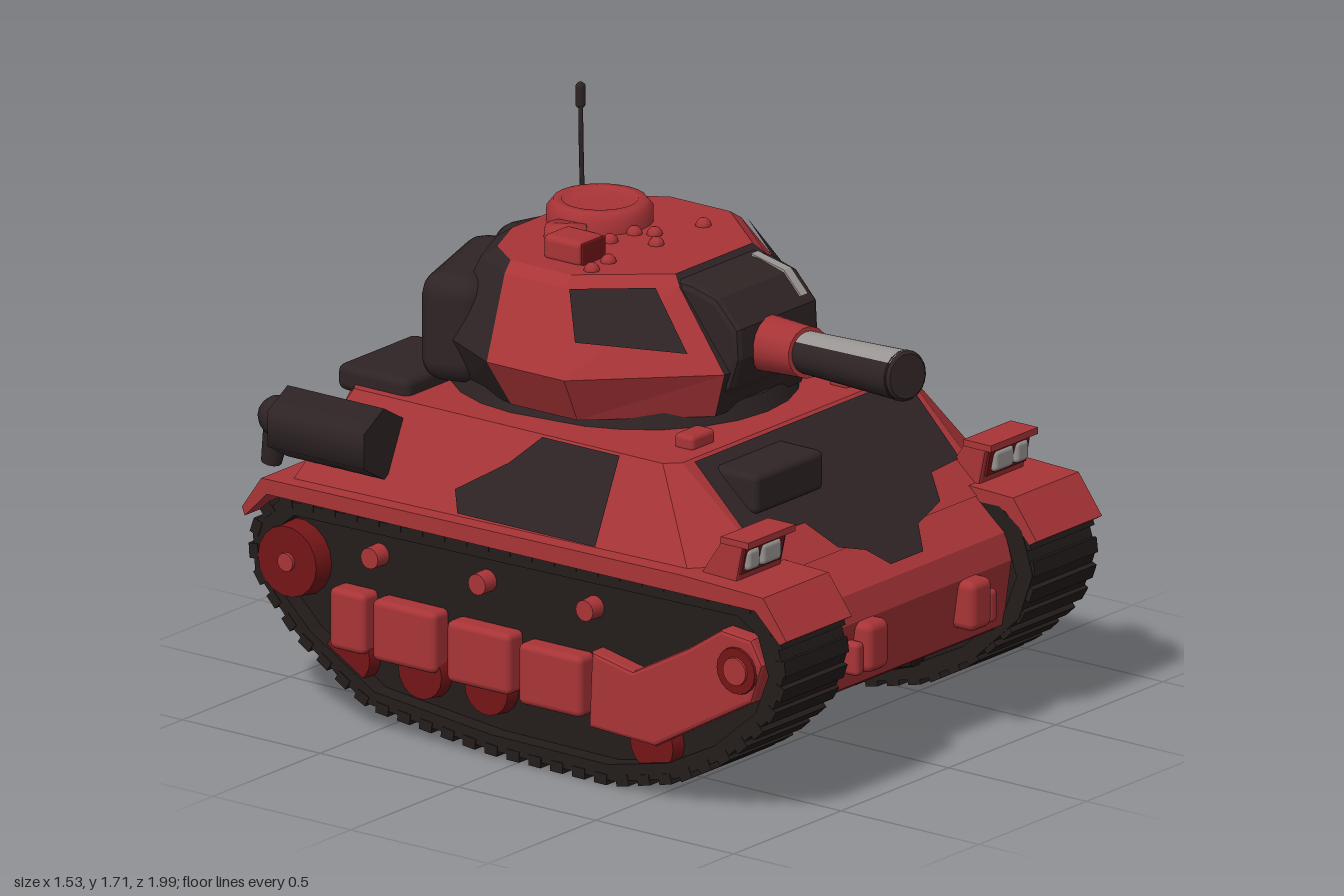
import * as THREE from 'three';
import { mergeGeometries } from 'three/addons/utils/BufferGeometryUtils.js';
import { RoundedBoxGeometry } from 'three/addons/geometries/RoundedBoxGeometry.js';

const material = (name, color) => {
  const m = new THREE.MeshStandardMaterial({ color, side: THREE.DoubleSide });
  m.name = name;
  return m;
};

export function createModel() {
  const model = new THREE.Group();
  model.name = 'tank';
  const red = material('red paint', 0xa83437);
  const dark = material('dark paint', 0x2f2425);
  const black = material('track black', 0x231c1b);
  const maroon = material('deep red', 0x741517);
  const grey = material('light grey', 0x9a9694);

  const add = (name, geo, mat, x = 0, y = 0, z = 0) => {
    const m = new THREE.Mesh(geo, mat);
    m.name = name;
    m.position.set(x, y, z);
    model.add(m);
    return m;
  };
  const box = (name, mat, w, h, d, x, y, z, r = 0.015) =>
    add(name, new RoundedBoxGeometry(w, h, d, 2, r), mat, x, y, z);
  const toShape = pts => new THREE.Shape(pts.map(p => new THREE.Vector2(...p)));

  // Side profile of [z, y] points, extruded across x
  const slab = (name, mat, pts, x0, x1, bevel = 0, hole) => {
    const shape = toShape(pts);
    if (hole) shape.holes.push(toShape(hole));
    const depth = Math.abs(x1 - x0) - 2 * bevel;
    const geo = new THREE.ExtrudeGeometry(shape, {
      depth, bevelEnabled: bevel > 0, bevelThickness: bevel, bevelSize: bevel, bevelOffset: -bevel, bevelSegments: 2
    });
    geo.translate(0, 0, -depth / 2).rotateY(-Math.PI / 2);
    return add(name, geo, mat, (x0 + x1) / 2);
  };

  // Flat polygon laid on a surface by a mapping rule
  const paint = (name, mat, pts, map) => {
    const geo = new THREE.ShapeGeometry(toShape(pts));
    const p = geo.attributes.position;
    for (let i = 0; i < p.count; i++) p.setXYZ(i, ...map(p.getX(i), p.getY(i)));
    geo.computeVertexNormals();
    return add(name, geo, mat);
  };

  // Mirrored [x, z] half outlines joined level by level, with caps
  const loft = (name, mats, levels, pick) => {
    const rings = levels.map(([y, half]) =>
      [...half, ...half.slice().reverse().map(([x, z]) => [-x, z])].map(([x, z]) => [x, y, z]));
    const n = rings[0].length, v = [], geo = new THREE.BufferGeometry();
    const tri = (mi, ...t) => { geo.addGroup(v.length / 3, t.length, mi); t.forEach(q => v.push(...q)); };
    for (let r = 0; r < rings.length - 1; r++) for (let i = 0; i < n; i++) {
      const j = (i + 1) % n, a = rings[r][i], b = rings[r][j], c = rings[r + 1][j], d = rings[r + 1][i];
      tri(pick(i), a, b, c, a, c, d);
    }
    const lo = rings[0], hi = rings[rings.length - 1];
    for (let i = 0; i < n; i++) {
      const j = (i + 1) % n;
      tri(0, [0, hi[0][1], -0.1], hi[i], hi[j]);
      tri(0, [0, lo[0][1], -0.1], lo[j], lo[i]);
    }
    geo.setAttribute('position', new THREE.Float32BufferAttribute(v, 3));
    geo.computeVertexNormals();
    return add(name, geo, mats);
  };

  // Hull
  slab('lowerHull', red, [[0.725, 0.7], [0.868, 0.58], [0.89, 0.5], [0.86, 0.3], [-0.78, 0.3], [-0.88, 0.54], [-0.95, 0.58], [-0.95, 0.7]], -0.435, 0.435);
  slab('hullFloor', maroon, [[0.85, 0.31], [0.83, 0.28], [-0.76, 0.28], [-0.89, 0.54], [-0.87, 0.54], [-0.74, 0.31]], -0.43, 0.43);
  loft('upperHull', [red], [
    [0.67, [[0.5, 0.768], [0.69, 0.6], [0.69, -0.85], [0.45, -0.94]]],
    [0.95, [[0.52, 0.44], [0.56, 0.4], [0.56, -0.72], [0.45, -0.79]]]
  ], () => 0);
  paint('glacisCamouflage', dark, [[-0.48, 0.945], [-0.5, 0.755], [-0.26, 0.75], [-0.21, 0.68], [-0.12, 0.655], [-0.07, 0.61], [0.08, 0.61],
    [0.14, 0.665], [0.28, 0.69], [0.33, 0.75], [0.47, 0.755], [0.5, 0.945]], (x, y) => [x, y, 0.447 + (0.95 - y) * 1.175]);
  box('glacisBox', dark, 0.32, 0.12, 0.2, -0.26, 0.86, 0.53, 0.02);
  paint('rearCamouflage', dark, [[-0.24, 0.675], [0.24, 0.675], [0.24, 0.76], [0.1, 0.78], [-0.1, 0.78], [-0.24, 0.75]],
    (x, y) => [x, y, -0.946 + (y - 0.67) * 0.536]);
  box('rearPatch', dark, 0.48, 0.11, 0.016, 0, 0.645, -0.948, 0.005);
  box('rearHatch', dark, 0.18, 0.12, 0.06, 0, 0.41, -0.82);
  slab('rearStrap', dark, [[-0.64, 1], [-0.8, 0.985], [-0.96, 0.78], [-0.97, 0.6], [-0.93, 0.6], [-0.9, 0.75], [-0.7, 0.9]], -0.1, 0.1, 0.01);

  // Bent plate hanging under the hull
  const plate = new THREE.ExtrudeGeometry(toShape([[-0.37, 0.02], [-0.35, -0.28], [-0.1, -0.38], [0.1, -0.32], [0.24, -0.1], [0.18, 0.12], [-0.05, 0.2], [-0.28, 0.18]]),
    { depth: 0.045, bevelSize: 0.015, bevelThickness: 0.015, bevelSegments: 1 });
  plate.rotateX(-Math.PI / 2).rotateZ(0.06);
  add('undersidePlate', plate, dark, 0, 0.075, 0);

  // Track outline and links
  const outline = [[0.93, 0.6], [0.97, 0.47], [0.92, 0.33], [0.76, 0.18], [0.58, 0.08], [0.35, 0.025], [-0.1, 0.03], [-0.55, 0.08],
    [-0.8, 0.24], [-0.95, 0.4], [-0.96, 0.54], [-0.86, 0.63], [0.85, 0.655]];
  const inset = outline.map(([z, y]) => [z * 0.94, 0.36 + (y - 0.36) * 0.86]);
  const spots = toShape([...outline, outline[0]]).getSpacedPoints(56);
  const links = mergeGeometries(spots.slice(0, -1).map((p, i) => {
    const q = spots[i + 1];
    return new THREE.BoxGeometry(0.295, 0.032, 0.045)
      .rotateX(-Math.atan2(q.y - p.y, q.x - p.x)).translate(0, (p.y + q.y) / 2, (p.x + q.x) / 2);
  }));

  for (const s of [1, -1]) {
    const wheel = (name, mat, r, d, x, y, z) =>
      add(name, new THREE.CylinderGeometry(r * 0.92, r, d, 18).rotateZ(-s * Math.PI / 2), mat, s * x, y, z);

    // Running gear
    slab('trackBelt', black, outline, s * 0.43, s * 0.725, 0, inset);
    slab('trackSide', black, inset, s * 0.45, s * 0.67);
    slab('innerTrackGuide', black, [[0.62, 0.25], [0.56, 0.12], [0.35, 0.05], [-0.1, 0.05], [-0.5, 0.1], [-0.68, 0.25]], s * 0.385, s * 0.46, 0.02);
    add('trackLinks', links, black, s * 0.58);
    slab('frontGearCover', red, [[0.89, 0.48], [0.85, 0.55], [0.74, 0.56], [0.62, 0.48], [0.42, 0.37], [0.27, 0.4], [0.26, 0.17],
      [0.5, 0.16], [0.85, 0.36]], s * 0.66, s * 0.728, 0.012);
    wheel('frontGear', maroon, 0.075, 0.02, 0.724, 0.45, 0.8);
    wheel('frontGearHub', red, 0.045, 0.03, 0.726, 0.45, 0.8);
    for (const [z, w, y] of [[0.125, 0.23, 0.285], [-0.135, 0.23, 0.3], [-0.405, 0.23, 0.31], [-0.61, 0.13, 0.315]])
      box('skirtPanel', red, 0.08, 0.185, w, s * 0.7, y, z, 0.02);
    for (const z of [0.48, -0.12, -0.36, -0.62]) wheel('roadWheel', maroon, 0.085, 0.05, 0.69, z > 0 ? 0.16 : 0.205, z);
    wheel('rearWheel', maroon, 0.115, 0.06, 0.7, 0.45, -0.83);
    wheel('rearWheelHub', red, 0.03, 0.06, 0.71, 0.45, -0.83);
    for (const z of [0.24, -0.15, -0.54]) wheel('sideBolt', red, 0.034, 0.06, 0.69, 0.515, z);

    // Fender and hull side camouflage
    slab('fender', red, [[0.985, 0.575], [0.9, 0.69], [0.6, 0.7], [-0.92, 0.685], [-0.99, 0.585], [-0.98, 0.56], [-0.9, 0.64],
      [0.87, 0.645], [0.96, 0.56]], s * 0.43, s * 0.735);
    paint('sideCamouflage', dark, [[0.25, 0.945], [-0.03, 0.945], [-0.12, 0.86], [-0.28, 0.76], [-0.25, 0.7], [0.25, 0.7]],
      (z, y) => [s * (0.696 - (y - 0.67) * 0.464), y, z]);

    // Headlights
    slab('headlightHousing', red, [[0.78, 0.82], [0.7, 0.81], [0.62, 0.69], [0.75, 0.68]], s * 0.46, s * 0.67, 0.008);
    slab('headlightVisor', red, [[0.8, 0.82], [0.7, 0.82], [0.7, 0.8], [0.8, 0.8]], s * 0.455, s * 0.675);
    slab('headlightRecess', maroon, [[0.782, 0.8], [0.774, 0.8], [0.757, 0.715], [0.765, 0.715]], s * 0.478, s * 0.662);
    for (const [x, w] of [[0.541, 0.092], [0.625, 0.06]])
      box('headlamp', grey, w, 0.066, 0.036, s * x, 0.757, 0.768, 0.015);

    // Hull fittings
    box('towBracket', red, 0.1, 0.15, 0.1, s * 0.24, 0.425, 0.89, 0.025);
    box('towBracketSide', red, 0.04, 0.1, 0.07, s * 0.31, 0.4, 0.89);
    add('rearTowKnob', new THREE.SphereGeometry(0.05, 12, 8), red, s * 0.25, 0.42, -0.86);
    box('periscope', red, 0.11, 0.05, 0.07, s * 0.36, 0.965, 0.36);
    box('rearLamp', red, 0.1, 0.05, 0.06, s * 0.3, 0.82, -0.88, 0.02);
    box('engineHatch', dark, 0.36, 0.08, 0.26, s * 0.35, 0.96, -0.68, 0.025);

    // Exhaust drum with pipe
    add('exhaustDrum', new THREE.CylinderGeometry(0.107, 0.107, 0.35, 6).rotateX(Math.PI / 2), dark, s * 0.67, 0.85, -0.7);
    add('exhaustPipe', new THREE.CylinderGeometry(0.045, 0.03, 0.15, 10).rotateX(0.2), dark, s * 0.675, 0.79, -0.915);
    add('exhaustElbow', new THREE.SphereGeometry(0.06, 12, 8), dark, s * 0.675, 0.86, -0.905);
  }

  // Turret
  const mid = [[0.22, 0.36], [0.545, 0.03], [0.545, -0.25], [0.42, -0.5], [0.2, -0.6]];
  const top = [[0.2, 0.18], [0.41, -0.07], [0.41, -0.29], [0.33, -0.44], [0.15, -0.52]];
  add('turretRing', new THREE.CylinderGeometry(0.43, 0.45, 0.08, 24), dark, 0, 0.965, -0.1);
  add('turretBustle', new THREE.CylinderGeometry(0.42, 0.46, 0.16, 24), dark, 0, 1.03, -0.23);
  loft('turret', [red, dark], [
    [0.98, [[0.2, 0.31], [0.47, 0.02], [0.47, -0.22], [0.38, -0.45], [0.18, -0.55]]],
    [1.12, mid], [1.345, top],
    [1.372, [[0.18, 0.15], [0.37, -0.08], [0.37, -0.3], [0.29, -0.41], [0.13, -0.48]]]
  ], i => (i >= 2 && i <= 6) || i === 9 ? 1 : 0);
  const mix = THREE.MathUtils.lerp;
  for (const s of [1, -1]) {
    paint('cheekPanel', dark, [[0.18, 0.24], [0.93, 0.4], [0.97, 0.98], [0.22, 0.98]], (u, v) => [
      s * (mix(mix(mid[0][0], mid[1][0], u), mix(top[0][0], top[1][0], u), v) + 0.008),
      mix(1.12, 1.345, v) + 0.006,
      mix(mix(mid[0][1], mid[1][1], u), mix(top[0][1], top[1][1], u), v) + 0.008]);
    const bag = box('stowageBag', dark, 0.47, 0.33, 0.2, s * 0.225, 1.14, -0.54, 0.07);
    bag.rotation.y = -s * 0.32;
  }
  box('turretSidePort', red, 0.06, 0.09, 0.2, 0.51, 1.065, -0.12, 0.02);
  slab('mantlet', dark, [[0.12, 1.36], [0.22, 1.355], [0.31, 1.33], [0.385, 1.25], [0.39, 1.16], [0.36, 1.07], [0.31, 1.02], [0.1, 1.02]],
    -0.195, 0.185, 0.02);
  slab('mantletStreak', grey, [[0.19, 1.364], [0.31, 1.338], [0.372, 1.272], [0.36, 1.265], [0.2, 1.34]], 0.12, 0.153);

  // Gun, with a pale upper side
  const from = new THREE.Vector3(-0.03, 1.17, 0.34), to = new THREE.Vector3(-0.172, 1.23, 0.98);
  const gun = new THREE.Group();
  gun.name = 'gun';
  gun.position.copy(from);
  gun.quaternion.setFromUnitVectors(new THREE.Vector3(0, 1, 0), to.clone().sub(from).normalize());
  model.add(gun);
  const len = from.distanceTo(to), start = Math.PI - 1.42, arc = 2.05;
  const gunPart = (name, geo, mat, y) => gun.add(add(name, geo, mat, 0, y, 0));
  gunPart('gunSleeve', new THREE.CylinderGeometry(0.076, 0.085, 0.22, 16), red, 0.11);
  gunPart('barrelUnderside', new THREE.CylinderGeometry(0.074, 0.062, len - 0.2, 16, 1, true, start + arc, Math.PI * 2 - arc), dark, len / 2 + 0.1);
  gunPart('barrelTop', new THREE.CylinderGeometry(0.074, 0.062, len - 0.2, 10, 1, true, start, arc), grey, len / 2 + 0.1);
  gunPart('muzzle', new THREE.CylinderGeometry(0.066, 0.076, 0.015, 16), dark, len);

  // Roof fittings
  const lathe = pts => new THREE.LatheGeometry(pts.map(p => new THREE.Vector2(...p)), 24);
  add('cupola', lathe([[0.155, 0], [0.155, 0.05], [0.135, 0.075], [0.11, 0.075], [0.1, 0.06], [0, 0.065]]), red, 0.085, 1.36, -0.33);
  add('smallHatch', lathe([[0.065, 0], [0.06, 0.045], [0, 0.05]]), red, -0.1, 1.36, -0.31);
  box('sightBox', red, 0.12, 0.08, 0.14, -0.23, 1.4, -0.18, 0.02);
  box('sightWindow', maroon, 0.11, 0.066, 0.008, -0.23, 1.402, -0.109, 0.003);
  for (const [x, z] of [[-0.3, -0.06], [-0.21, -0.07], [-0.06, -0.18], [0.04, -0.17], [0.07, -0.12], [0.22, -0.06], [0, -0.06]])
    add('roofBolt', new THREE.SphereGeometry(0.024, 8, 6), red, x, 1.372, z);

  // Antenna
  const wire = new THREE.CatmullRomCurve3([[0.212, 1.25, -0.49], [0.212, 1.45, -0.495], [0.208, 1.58, -0.495], [0.22, 1.68, -0.505]]
    .map(p => new THREE.Vector3(...p)));
  add('antenna', new THREE.TubeGeometry(wire, 16, 0.007, 6), dark);
  add('antennaTip', new THREE.CapsuleGeometry(0.015, 0.05, 4, 8), dark, 0.219, 1.675, -0.505);

  return model;
}
